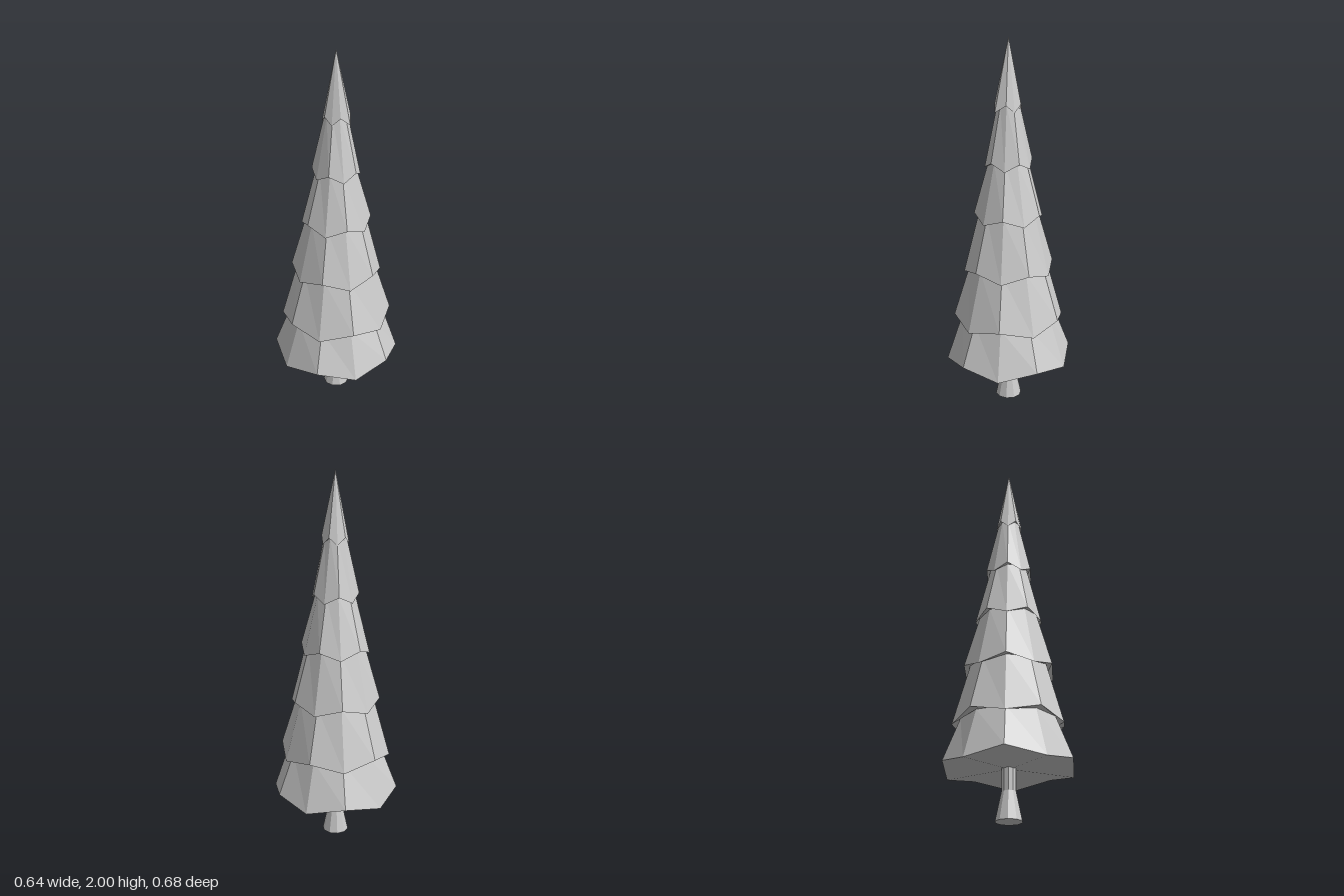
import * as THREE from 'three';

const SIDES = 10;

// Rim of each branch tier: radius, mid height; neck: where it tucks under the next tier
const TIERS = [
  { rim: 0.338, y: 0.265, neck: 0.25, neckY: 0.51 },
  { rim: 0.295, y: 0.493, neck: 0.205, neckY: 0.80 },
  { rim: 0.238, y: 0.78, neck: 0.155, neckY: 1.09 },
  { rim: 0.181, y: 1.07, neck: 0.102, neckY: 1.37 },
  { rim: 0.124, y: 1.353, neck: 0.057, neckY: 1.665 },
  { rim: 0.071, y: 1.647, neck: 0, neckY: 2 },
];
const ZIGZAG = 0.019;

function faceted(geometry) {
  const flat = geometry.toNonIndexed();
  flat.computeVertexNormals();
  return flat;
}

function lathe(points) {
  return new THREE.LatheGeometry(points.map(([r, y]) => new THREE.Vector2(r, y)), SIDES);
}

// Stepped cone of branches whose rims rise and fall from corner to corner
function foliageGeometry() {
  const profile = [[0, TIERS[0].y]];
  for (const t of TIERS) profile.push([t.rim, t.y], [t.neck, t.neckY]);
  const geometry = lathe(profile);
  const pos = geometry.attributes.position;
  for (let i = 0; i <= SIDES; i++) {
    TIERS.forEach((t, k) => {
      const v = i * profile.length + 1 + 2 * k;
      pos.setY(v, t.y + ((i + k) % 2 ? ZIGZAG : -ZIGZAG));
      // one stray corner sticks out of the top tier
      if (k === TIERS.length - 1 && i === 3) pos.setX(v, 0.088);
    });
  }
  return faceted(geometry);
}

export function createModel() {
  const group = new THREE.Group();
  group.name = 'pineTree';
  const material = new THREE.MeshStandardMaterial({ color: 0xcccccc, flatShading: true });

  const foliage = new THREE.Mesh(foliageGeometry(), material);
  foliage.name = 'foliage';

  // Trunk flaring out at the foot
  const trunk = new THREE.Mesh(
    faceted(lathe([[0, 0], [0.07, 0], [0.038, 0.15], [0.038, 0.27]])), material);
  trunk.name = 'trunk';

  group.add(foliage, trunk);
  return group;
}
